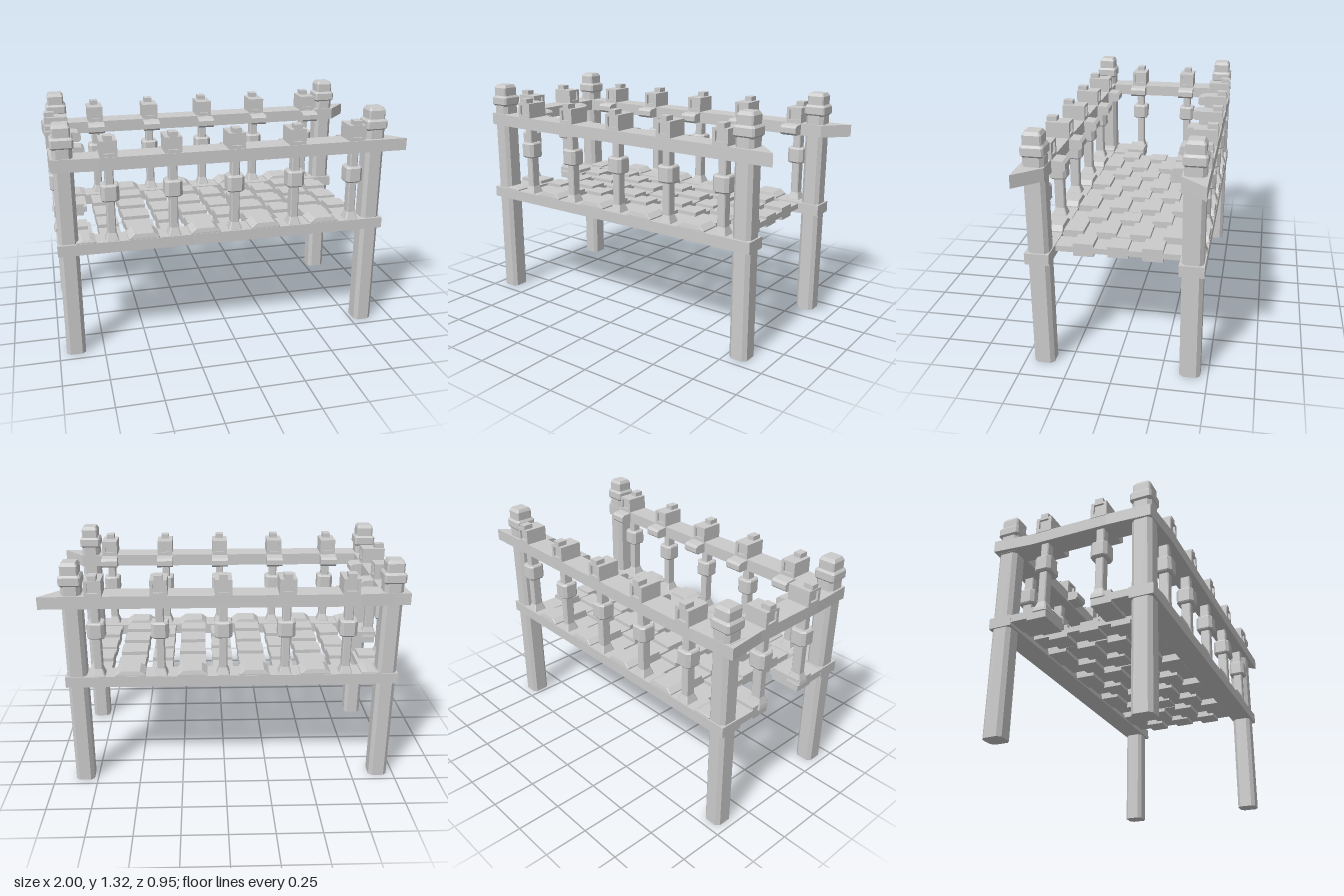
import * as THREE from 'three';

const mat = new THREE.MeshStandardMaterial({ color: 0xcccccc, flatShading: true });

function add(parent, name, geo, x = 0, y = 0, z = 0) {
  const m = new THREE.Mesh(geo, mat);
  m.name = name;
  m.position.set(x, y, z);
  parent.add(m);
  return m;
}

// Box given by its limits
function block(parent, name, x0, x1, y0, y1, z0, z1) {
  return add(parent, name, new THREE.BoxGeometry(x1 - x0, y1 - y0, z1 - z0),
    (x0 + x1) / 2, (y0 + y1) / 2, (z0 + z1) / 2);
}

// Stack of chamfered rectangles: each section is [y, halfX, halfZ, chamfer]
function loft(sections) {
  const rings = sections.map(([y, a, b, c]) => [
    [a, y, b - c], [a, y, c - b], [a - c, y, -b], [c - a, y, -b],
    [-a, y, c - b], [-a, y, b - c], [c - a, y, b], [a - c, y, b]]);
  const pos = [];
  const tri = (p, q, r) => pos.push(...p, ...q, ...r);
  for (let i = 0; i + 1 < rings.length; i++) {
    const lo = rings[i], hi = rings[i + 1];
    for (let j = 0; j < 8; j++) {
      const k = (j + 1) % 8;
      tri(lo[j], lo[k], hi[k]);
      tri(lo[j], hi[k], hi[j]);
    }
  }
  const first = rings[0], last = rings[rings.length - 1];
  for (let j = 1; j < 7; j++) {
    tri(last[0], last[j], last[j + 1]);
    tri(first[0], first[j + 1], first[j]);
  }
  const g = new THREE.BufferGeometry();
  g.setAttribute('position', new THREE.Float32BufferAttribute(pos, 3));
  g.computeVertexNormals();
  return g;
}

// Horizontal board from an x,z outline
function board(parent, name, outline, y0, y1) {
  const shape = new THREE.Shape(outline.map(([x, z]) => new THREE.Vector2(x, -z)));
  const g = new THREE.ExtrudeGeometry(shape, { depth: y1 - y0, bevelEnabled: false });
  g.rotateX(-Math.PI / 2);
  return add(parent, name, g, 0, y0, 0);
}

// Square block with a shallow square recess on both faces
function recessedBlock(parent, y0, y1, z0, z1) {
  const h = 0.046, w = 0.028, c = (y0 + y1) / 2 + 0.004;
  const s = new THREE.Shape([[-h, y0], [h, y0], [h, y1], [-h, y1]].map(p => new THREE.Vector2(...p)));
  s.holes.push(new THREE.Path([[-w, c - w], [-w, c + w], [w, c + w], [w, c - w]].map(p => new THREE.Vector2(...p))));
  const g = new THREE.ExtrudeGeometry(s, { depth: z1 - z0, bevelEnabled: false });
  add(parent, 'railBlock', g, 0, 0, z0);
  block(parent, 'railBlockCore', -w, w, c - w, c + w, z0 + 0.012, z1 - 0.012);
}

// Baluster with the clamp block above it; local +z points outward
function baluster(parent, x, z, turn) {
  const g = new THREE.Group();
  g.name = 'baluster';
  g.position.set(x, 0, z);
  g.rotation.y = turn;
  add(g, 'balusterShaft', loft([[0.65, 0.04, 0.045, 0.006], [0.67, 0.036, 0.042, 0.006],
    [0.71, 0.023, 0.028, 0.005], [1.08, 0.023, 0.028, 0.005]]), 0, 0, 0.015);
  add(g, 'balusterKnot', loft([[0.892, 0.043, 0.043, 0.016], [0.9, 0.048, 0.05, 0.018],
    [0.976, 0.048, 0.05, 0.018], [0.984, 0.043, 0.043, 0.016]]), 0, 0, 0.015);
  recessedBlock(g, 1.135, 1.226, -0.065, 0.068);
  block(g, 'railBlockCap', -0.023, 0.023, 1.226, 1.252, 0.01, 0.066);
  // inner shelf with a sloped nose
  const nose = new THREE.Shape([[0.06, 1.075], [0.12, 1.075], [0.135, 1.088], [0.135, 1.118], [0.12, 1.13], [0.06, 1.135]]
    .map(p => new THREE.Vector2(...p)));
  const ng = new THREE.ExtrudeGeometry(nose, { depth: 0.098, bevelEnabled: false });
  ng.rotateY(Math.PI / 2);
  add(g, 'clampShelf', ng, -0.049, 0, 0);
  parent.add(g);
}

// Floor slat along z: thin strip with thicker bands
function slat(parent, x, w, bands, y) {
  const g = new THREE.Group();
  g.name = 'floorSlat';
  block(g, 'slatStrip', x - w / 2, x + w / 2, y - 0.016, y + 0.016, -0.4, 0.4);
  for (const b of bands) {
    const t = Math.abs(b) < 0.05 ? 0.03 : 0.036;
    block(g, 'slatBand', x - w / 2, x + w / 2, y - t, y + t, b - 0.055, b + 0.055);
  }
  parent.add(g);
}

export function createModel() {
  const model = new THREE.Group();
  model.name = 'railedPlatform';

  // Corner posts with stepped caps
  for (const x of [-0.907, 0.824]) for (const z of [-0.403, 0.396]) {
    const post = new THREE.Group();
    post.name = 'cornerPost';
    post.position.set(x, 0, z);
    add(post, 'postShaft', loft([[0, 0.053, 0.056, 0.02], [1.19, 0.053, 0.056, 0.02]]));
    add(post, 'postCollar', loft([[1.185, 0.05, 0.05, 0.01], [1.198, 0.061, 0.061, 0.01],
      [1.238, 0.061, 0.061, 0.01], [1.25, 0.052, 0.052, 0.01]]));
    add(post, 'postCap', loft([[1.245, 0.048, 0.05, 0.008], [1.298, 0.048, 0.05, 0.008],
      [1.316, 0.038, 0.038, 0.006]]));
    model.add(post);
  }

  // Long rails, upper ones with a slanted open end
  for (const s of [1, -1]) {
    board(model, 'upperRail', [[-0.97, 0.455], [-0.73, 0.472], [1, 0.472], [0.877, 0.338], [-0.97, 0.338]]
      .map(([x, z]) => [x, z * s]), 1.07, 1.139);
    block(model, 'lowerRail', -0.968, 0.888, 0.606, 0.668, s > 0 ? 0.335 : -0.466, s > 0 ? 0.466 : -0.335);
  }

  // End rail on the closed side
  board(model, 'endRail', [[-1, -0.46], [-0.847, -0.46], [-0.847, 0.45], [-0.97, 0.455],
    [-0.98, 0.21], [-0.98, -0.24]], 1.071, 1.138);

  // Broken lower end rail: two stubs carrying the end balusters
  for (const s of [1, -1]) {
    const stub = (name, x0, x1, y0, y1, z0, z1) =>
      block(model, name, x0, x1, y0, y1, Math.min(z0 * s, z1 * s), Math.max(z0 * s, z1 * s));
    stub('endStub', -0.966, -0.84, 0.622, 0.664, 0.22, 0.4);
    stub('endFoot', -0.966, -0.79, 0.61, 0.682, 0.128, 0.24);
    baluster(model, -0.915, 0.165 * s, -Math.PI / 2);
  }

  // Side balusters, each with a narrow slat between its pair
  const xs = [-0.674, -0.334, 0.011, 0.356, 0.703];
  for (const x of xs) {
    baluster(model, x, 0.4, 0);
    baluster(model, x, -0.406, Math.PI);
    slat(model, x, 0.117, [-0.185, 0, 0.185], 0.647);
  }

  // Wide slats in the gaps, with sloped end caps over the lower rails
  const wide = [[-0.815, 0.09], ...xs.slice(1).map((x, i) => [(x + xs[i]) / 2, 0.153])];
  wide.forEach(([x, w], i) => {
    if (i > 0) slat(model, x, w, [-0.275, -0.0925, 0.0925, 0.275], 0.647);
    for (const s of [1, -1]) {
      const top = i > 0 ? 0.698 : 0.685;
      add(model, 'slatEndCap', loft([[0.64, w / 2 + 0.008, 0.064, 0.004], [0.675, w / 2 + 0.008, 0.064, 0.004],
        [top, w / 2 - 0.022, 0.06, 0.004]]), x, 0, 0.4 * s);
    }
  });
  // Short slat pieces beside the closed end
  for (const s of [1, -1]) block(model, 'endSlat', -0.86, -0.77, 0.631, 0.663, s > 0 ? 0.13 : -0.4, s > 0 ? 0.4 : -0.13);

  return model;
}
